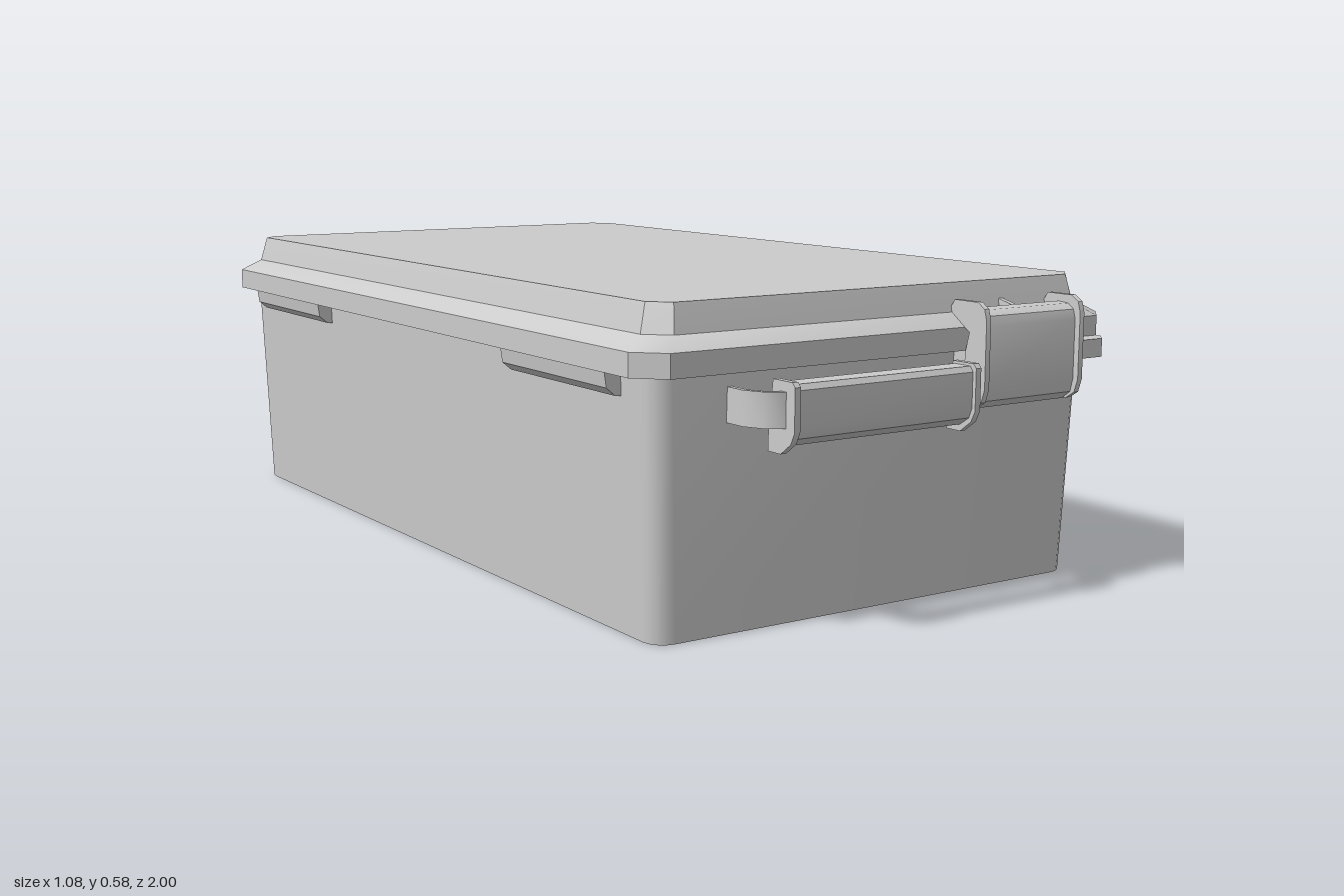
import * as THREE from 'three';
import { toCreasedNormals } from 'three/addons/utils/BufferGeometryUtils.js';

const material = new THREE.MeshStandardMaterial({ color: 0xcccccc });

function part(parent, name, geometry) {
  const mesh = new THREE.Mesh(toCreasedNormals(geometry, 0.6), material);
  mesh.name = name;
  parent.add(mesh);
  return mesh;
}

// Rectangle outline with cut (steps = 1) or rounded corners
function ring([y, hx, hz, r], steps) {
  const pts = [];
  for (let c = 0; c < 4; c++) {
    const sx = c === 0 || c === 3 ? 1 : -1;
    const sz = c < 2 ? 1 : -1;
    for (let i = 0; i <= steps; i++) {
      const a = (c + i / steps) * Math.PI / 2;
      pts.push(new THREE.Vector3(sx * (hx - r) + r * Math.cos(a), y, sz * (hz - r) + r * Math.sin(a)));
    }
  }
  return pts;
}

// Closed solid through sections [y, halfX, halfZ, corner]
function loft(sections, steps) {
  const rings = sections.map(s => ring(s, steps));
  const n = rings[0].length;
  const tris = [];
  for (let k = 0; k < rings.length - 1; k++) {
    const lo = rings[k], up = rings[k + 1];
    for (let i = 0; i < n; i++) {
      const j = (i + 1) % n;
      tris.push(lo[i], up[i], lo[j], lo[j], up[i], up[j]);
    }
  }
  const bottom = rings[0], top = rings[rings.length - 1];
  const c0 = new THREE.Vector3(0, bottom[0].y, 0), c1 = new THREE.Vector3(0, top[0].y, 0);
  for (let i = 0; i < n; i++) {
    const j = (i + 1) % n;
    tris.push(c0, bottom[i], bottom[j], c1, top[j], top[i]);
  }
  return new THREE.BufferGeometry().setFromPoints(tris);
}

function extrude(points, depth) {
  const shape = new THREE.Shape(points.map(p => new THREE.Vector2(p[0], p[1])));
  return new THREE.ExtrudeGeometry(shape, { depth, bevelEnabled: false });
}

// Profile of [z, y] points swept from x0 to x1; s = -1 puts it on the back
const alongX = (points, x0, x1, s) =>
  extrude(points.map(([z, y]) => [z * s, y]), x1 - x0).rotateY(-Math.PI / 2).translate(x1, 0, 0);

// Profile of [x, z] points swept from y0 to y1
const alongY = (points, y0, y1, s) =>
  extrude(points.map(([x, z]) => [x, z * s]), y1 - y0).rotateX(Math.PI / 2).translate(0, y1, 0);

function endFittings(name, s) {
  const g = new THREE.Group();
  g.name = name;

  // Carrying handle: bent strap, grip and its end flanges
  part(g, 'handleStrap', alongY([
    [-0.35, 0.86], [-0.35, 0.92], [-0.332, 0.957], [-0.3, 0.978],
    [0.105, 0.978], [0.132, 0.957], [0.152, 0.92], [0.152, 0.86],
    [0.142, 0.86], [0.142, 0.917], [0.125, 0.95], [0.1, 0.968],
    [-0.297, 0.968], [-0.324, 0.95], [-0.34, 0.917], [-0.34, 0.86],
  ], 0.375, 0.437, s));
  part(g, 'handleGrip', alongX([
    [0.945, 0.45], [0.985, 0.45], [0.992, 0.44], [0.992, 0.375],
    [0.985, 0.357], [0.962, 0.342], [0.94, 0.342],
  ], -0.295, 0.105, s));
  for (const x of [-0.302, 0.1]) {
    part(g, 'gripFlange', alongX([
      [0.94, 0.455], [0.993, 0.455], [1, 0.447], [1, 0.37],
      [0.99, 0.35], [0.963, 0.33], [0.928, 0.33], [0.928, 0.35],
    ], x, x + 0.012, s));
  }

  // Latch: curved plate between two hooked flanges
  part(g, 'latchPlate', alongX([
    [0.912, 0.542], [0.937, 0.54], [0.951, 0.53], [0.956, 0.512], [0.956, 0.4],
    [0.95, 0.375], [0.93, 0.36], [0.915, 0.36], [0.915, 0.37],
    [0.928, 0.372], [0.94, 0.385], [0.944, 0.4], [0.944, 0.51], [0.934, 0.528], [0.912, 0.53],
  ], 0.16, 0.392, s));
  for (const x of [0.152, 0.387]) {
    part(g, 'latchFlange', alongX([
      [0.87, 0.535], [0.885, 0.556], [0.945, 0.556], [0.962, 0.545], [0.968, 0.525],
      [0.968, 0.4], [0.96, 0.375], [0.94, 0.362], [0.915, 0.362], [0.915, 0.46], [0.925, 0.5], [0.89, 0.52],
    ], x, x + 0.011, s));
  }
  part(g, 'latchRib', alongX([[0.865, 0.52], [0.875, 0.55], [0.915, 0.54], [0.92, 0.5]], 0.27, 0.281, s));

  // Shelf on the body that carries the latch
  part(g, 'latchBracket', alongY([
    [0.16, 0.86], [0.16, 0.935], [0.385, 0.952], [0.465, 0.952], [0.49, 0.925], [0.49, 0.86],
  ], 0.435, 0.47, s));
  return g;
}

export function createModel() {
  const model = new THREE.Group();
  model.name = 'storageBox';

  part(model, 'body', loft([[0, 0.485, 0.864, 0.04], [0.47, 0.502, 0.878, 0.04]], 4));
  part(model, 'lid', loft([
    [0.465, 0.54, 0.913, 0.05],
    [0.508, 0.54, 0.913, 0.05],
    [0.532, 0.5, 0.878, 0.04],
    [0.578, 0.488, 0.867, 0.035],
    [0.585, 0.486, 0.865, 0.034],
  ], 1));

  // Hinge lugs under one long edge of the lid
  for (const z of [-0.6, 0.6]) {
    const lug = extrude([
      [-0.48, 0.42], [-0.48, 0.47], [-0.535, 0.47], [-0.53, 0.437], [-0.512, 0.422],
    ], 0.36).translate(0, 0, z - 0.18);
    part(model, 'hingeLug', lug);
  }

  model.add(endFittings('frontFittings', 1), endFittings('backFittings', -1));
  return model;
}
